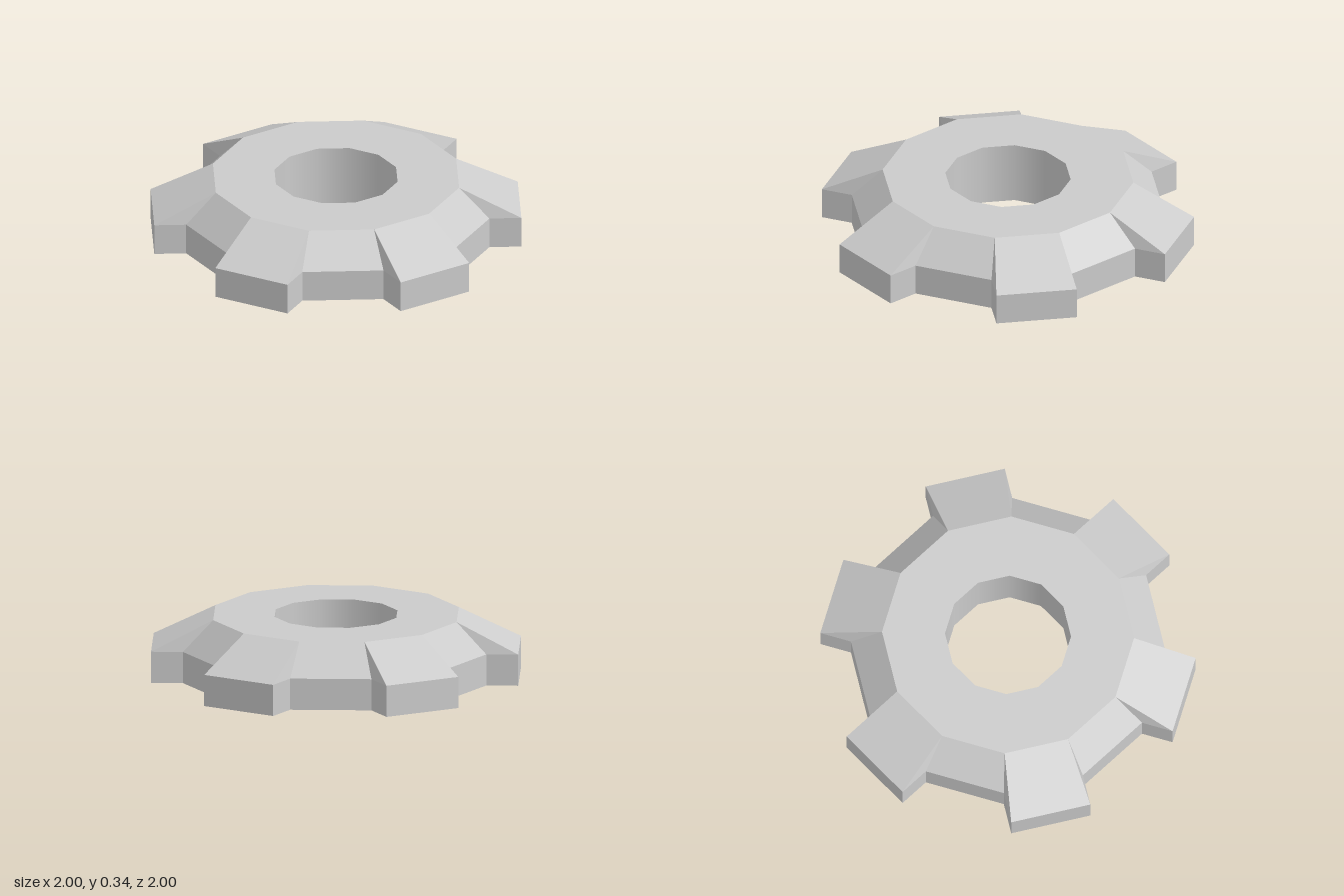
import * as THREE from 'three';

const STEP = Math.PI / 6;            // twelve-sided ring
const TOP = 0.335, RIM = 0.17;       // heights of the top face and the rim edge
const HOLE = 0.335, CROWN = 0.67, VALLEY = 0.835, REACH = 0.17;

const material = new THREE.MeshStandardMaterial({ color: 0xcccccc, flatShading: true });
const smooth = new THREE.MeshStandardMaterial({ color: 0xcccccc });

// point on corner i of the ring
const at = (i, r, y) => new THREE.Vector3(r * Math.cos(i * STEP), y, r * Math.sin(i * STEP));

// collects flat faces, each a convex polygon
function faceMesh(name, faces) {
  const points = [];
  for (const f of faces)
    for (let k = 1; k < f.length - 1; k++) points.push(f[0], f[k], f[k + 1]);
  const geometry = new THREE.BufferGeometry().setFromPoints(points);
  geometry.computeVertexNormals();
  const mesh = new THREE.Mesh(geometry, material);
  mesh.name = name;
  return mesh;
}

// band between two edges that run along one side of the ring
const band = (a, b) => [a[0], a[1], b[1], b[0]];

function createRing() {
  const faces = [];
  for (let i = 0; i < 12; i++) {
    const edge = (r, y) => [at(i, r, y), at(i + 1, r, y)];
    faces.push(band(edge(HOLE, TOP), edge(CROWN, TOP)));
    faces.push(band(edge(VALLEY, 0), edge(HOLE, 0)));
    // sloped valley and its wall, on every second side
    if (i % 2) {
      faces.push(band(edge(CROWN, TOP), edge(VALLEY, RIM)));
      faces.push(band(edge(VALLEY, RIM), edge(VALLEY, 0)));
    }
  }
  return faceMesh('ring', faces);
}

function createTooth() {
  // the tooth is the side of the ring pushed straight outward
  const push = at(0.5, REACH, 0);
  const edge = (r, y) => [at(0, r, y), at(1, r, y)];
  const out = (y) => edge(VALLEY, y).map((p) => p.add(push));
  const crown = edge(CROWN, TOP), root = edge(VALLEY, RIM), foot = edge(VALLEY, 0);
  const tip = out(RIM), toe = out(0);
  return faceMesh('tooth', [
    band(crown, tip), band(tip, toe), band(toe, foot),
    [crown[0], tip[0], root[0]], [root[0], tip[0], toe[0], foot[0]],
    [crown[1], root[1], tip[1]], [root[1], foot[1], toe[1], tip[1]],
  ]);
}

export function createModel() {
  const model = new THREE.Group();
  model.name = 'gear';
  model.add(createRing());

  // six teeth
  const teeth = new THREE.Group();
  teeth.name = 'teeth';
  const tooth = createTooth();
  for (let k = 0; k < 6; k++) {
    const copy = tooth.clone();
    copy.rotation.y = k * 2 * STEP;
    teeth.add(copy);
  }
  model.add(teeth);

  // smooth inner wall of the hole, facing the axis
  const bore = new THREE.Mesh(
    new THREE.LatheGeometry([new THREE.Vector2(HOLE, TOP), new THREE.Vector2(HOLE, 0)], 12), smooth);
  bore.name = 'bore';
  model.add(bore);
  return model;
}
